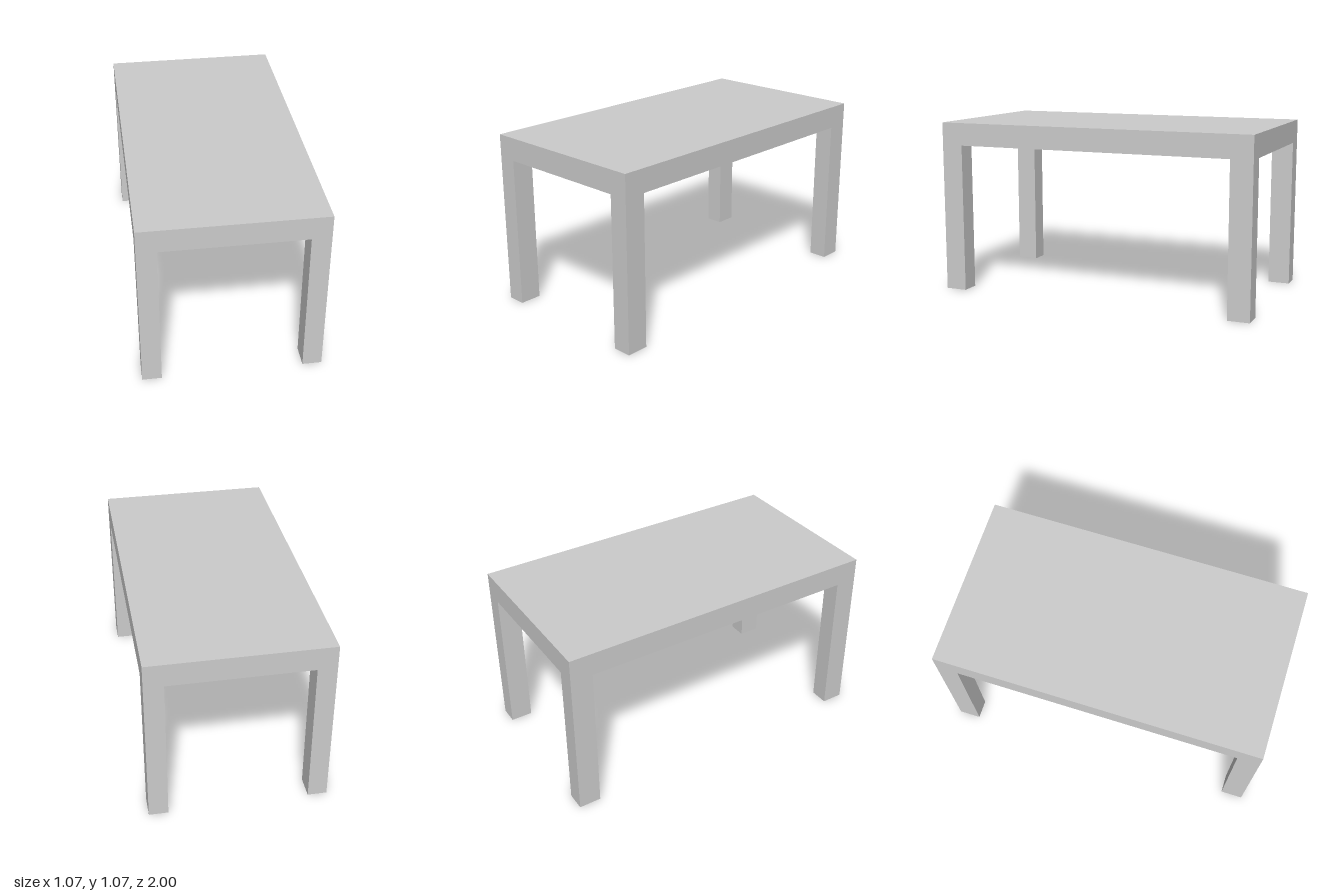
import * as THREE from 'three';

const WIDTH = 1.07, LENGTH = 2, HEIGHT = 1.065;
const TOP_THICKNESS = 0.14, LEG_WIDTH = 0.115, LEG_DEPTH = 0.135;

export function createModel() {
  const table = new THREE.Group();
  table.name = 'table';
  const material = new THREE.MeshStandardMaterial({ color: 0xcccccc });

  // Thick solid slab
  const top = new THREE.Mesh(new THREE.BoxGeometry(WIDTH, TOP_THICKNESS, LENGTH), material);
  top.name = 'tableTop';
  top.position.y = HEIGHT - TOP_THICKNESS / 2;
  table.add(top);

  // Four legs, flush with the corners of the slab
  const legHeight = HEIGHT - TOP_THICKNESS;
  const legGeometry = new THREE.BoxGeometry(LEG_WIDTH, legHeight, LEG_DEPTH);
  for (const [endName, zSign] of [['front', 1], ['back', -1]]) {
    for (const [sideName, xSign] of [['Left', 1], ['Right', -1]]) {
      const leg = new THREE.Mesh(legGeometry, material);
      leg.name = `${endName}${sideName}Leg`;
      leg.position.set(
        xSign * (WIDTH - LEG_WIDTH) / 2,
        legHeight / 2,
        zSign * (LENGTH - LEG_DEPTH) / 2
      );
      table.add(leg);
    }
  }
  return table;
}
